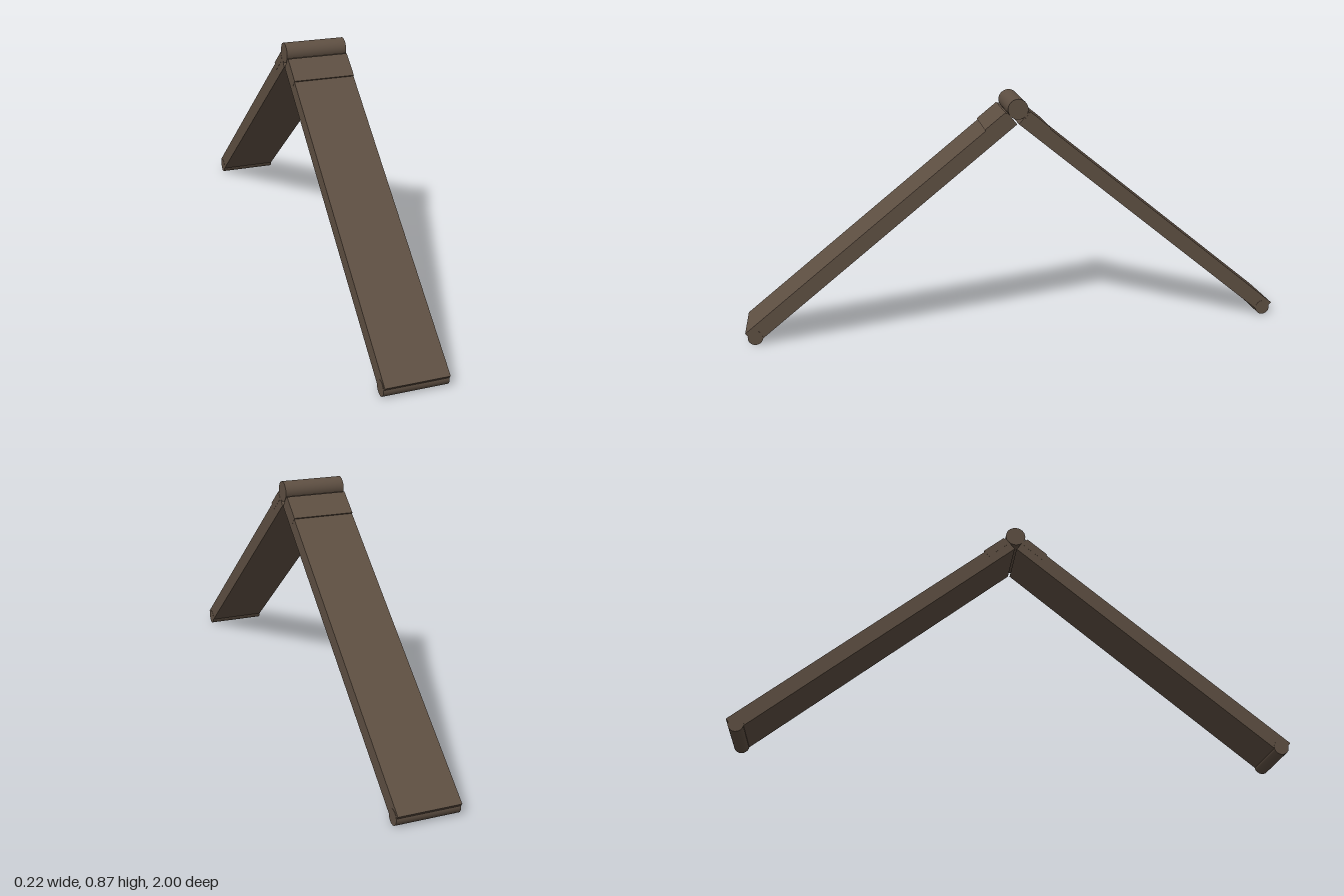
import * as THREE from 'three';

const WIDTH = 0.222;
const TILT = -0.889; // lean of each leg away from vertical

export function createModel() {
  const model = new THREE.Group();
  model.name = 'foldingStand';
  const material = new THREE.MeshStandardMaterial({ color: 0x5e4f42 });

  function add(parent, name, geometry, y, z) {
    const mesh = new THREE.Mesh(geometry, material);
    mesh.name = name;
    mesh.position.set(0, y, z);
    parent.add(mesh);
  }

  // box given by its extent along the leg (y) and through its thickness (z)
  function slab(parent, name, width, y0, y1, z0, z1) {
    const geometry = new THREE.BoxGeometry(width, y1 - y0, z1 - z0);
    add(parent, name, geometry, (y0 + y1) / 2, (z0 + z1) / 2);
  }

  // round bar lying across the width
  function bar(parent, name, radius, length, y, z) {
    const geometry = new THREE.CylinderGeometry(radius, radius, length, 32).rotateZ(Math.PI / 2);
    add(parent, name, geometry, y, z);
  }

  // two identical legs, leaning away from each other
  for (const side of ['front', 'back']) {
    const half = new THREE.Group();
    half.name = side + 'Half';
    half.rotation.y = side === 'front' ? 0 : Math.PI;
    const leg = new THREE.Group();
    leg.name = side + 'Leg';
    leg.rotation.x = TILT;
    slab(leg, 'legBoard', WIDTH, -0.748, 0.49, 0.609, 0.665);
    slab(leg, 'hingeLeaf', WIDTH + 0.001, 0.389, 0.485, 0.64, 0.67);
    bar(leg, 'footBar', 0.027, WIDTH + 0.002, -0.732, 0.629);
    half.add(leg);
    model.add(half);
  }

  // hinge barrel at the apex
  bar(model, 'hingeBarrel', 0.037, WIDTH + 0.002, 0.836, 0);

  return model;
}
